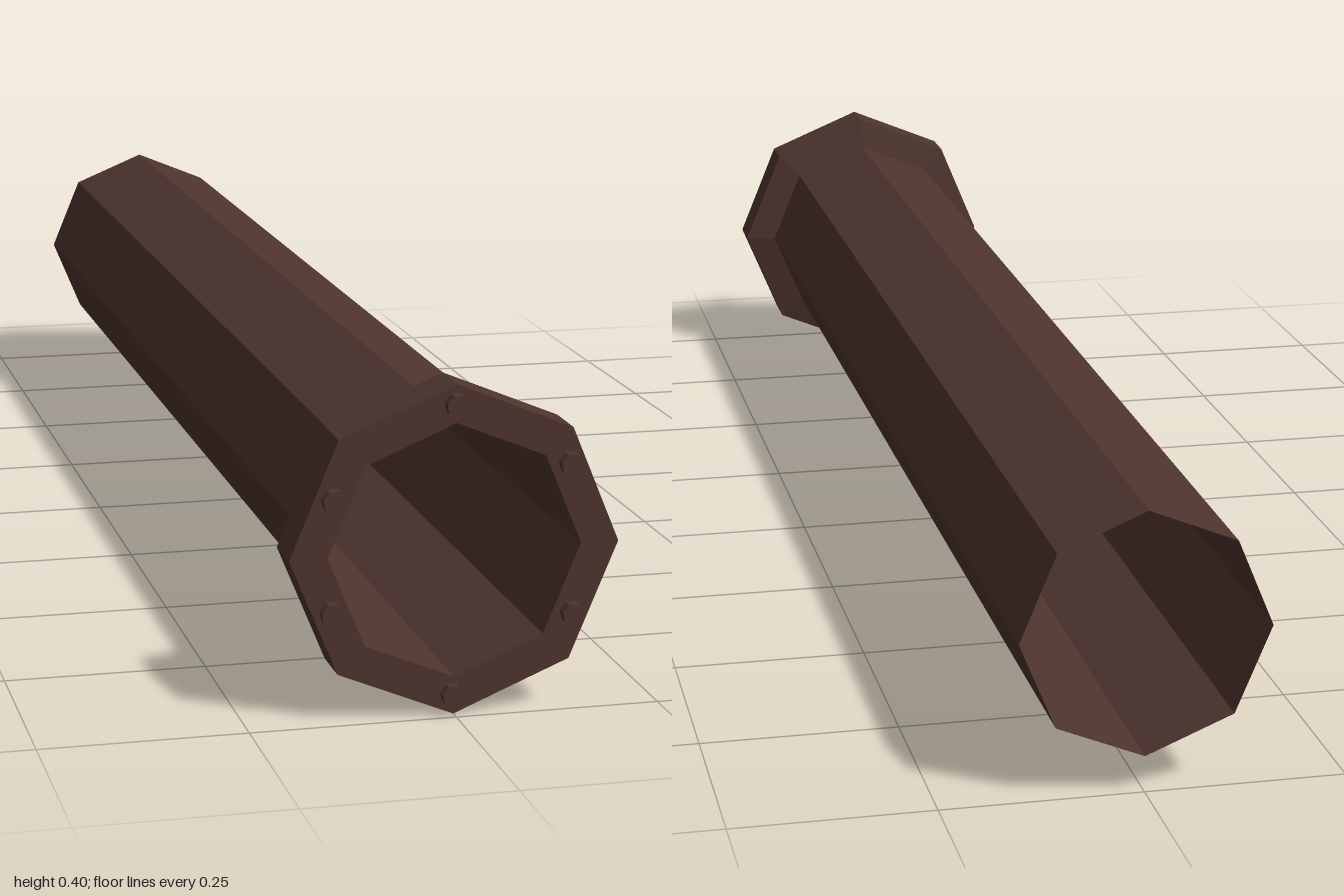
import * as THREE from 'three';

const CENTER_Y = 0.201, SIDES = 8;

export function createModel() {
  const model = new THREE.Group();
  model.name = 'flangedPipe';
  const brown = new THREE.MeshStandardMaterial({
    color: 0x4e342e, flatShading: true, side: THREE.DoubleSide,
  });
  brown.name = 'darkBrown';

  // Octagonal shell around the z axis from [radius, z] pairs
  const addShell = (name, profile) => {
    const points = profile.map(([r, z]) => new THREE.Vector2(r, z));
    const geometry = new THREE.LatheGeometry(points, SIDES).rotateX(Math.PI / 2);
    const mesh = new THREE.Mesh(geometry, brown);
    mesh.name = name;
    mesh.position.y = CENTER_Y;
    model.add(mesh);
  };

  // Open thin-walled pipe
  addShell('pipe', [[0.154, -1], [0.154, 0.987]]);
  // Collar with a slightly sloped back
  addShell('flange', [[0.154, 0.914], [0.2, 0.925], [0.2, 0.987], [0.154, 0.987]]);

  // Bolt heads around the collar face
  const boltGeometry = new THREE.CylinderGeometry(0.014, 0.014, 0.02, 7).rotateX(Math.PI / 2);
  const bolts = [
    [-0.002, 0.378], [0.138, 0.3], [0.143, 0.117],
    [-0.003, 0.026], [-0.15, 0.136], [-0.149, 0.272],
  ];
  bolts.forEach(([x, y], i) => {
    const bolt = new THREE.Mesh(boltGeometry, brown);
    bolt.name = `bolt${i + 1}`;
    bolt.position.set(x, y, 0.99);
    model.add(bolt);
  });

  return model;
}
